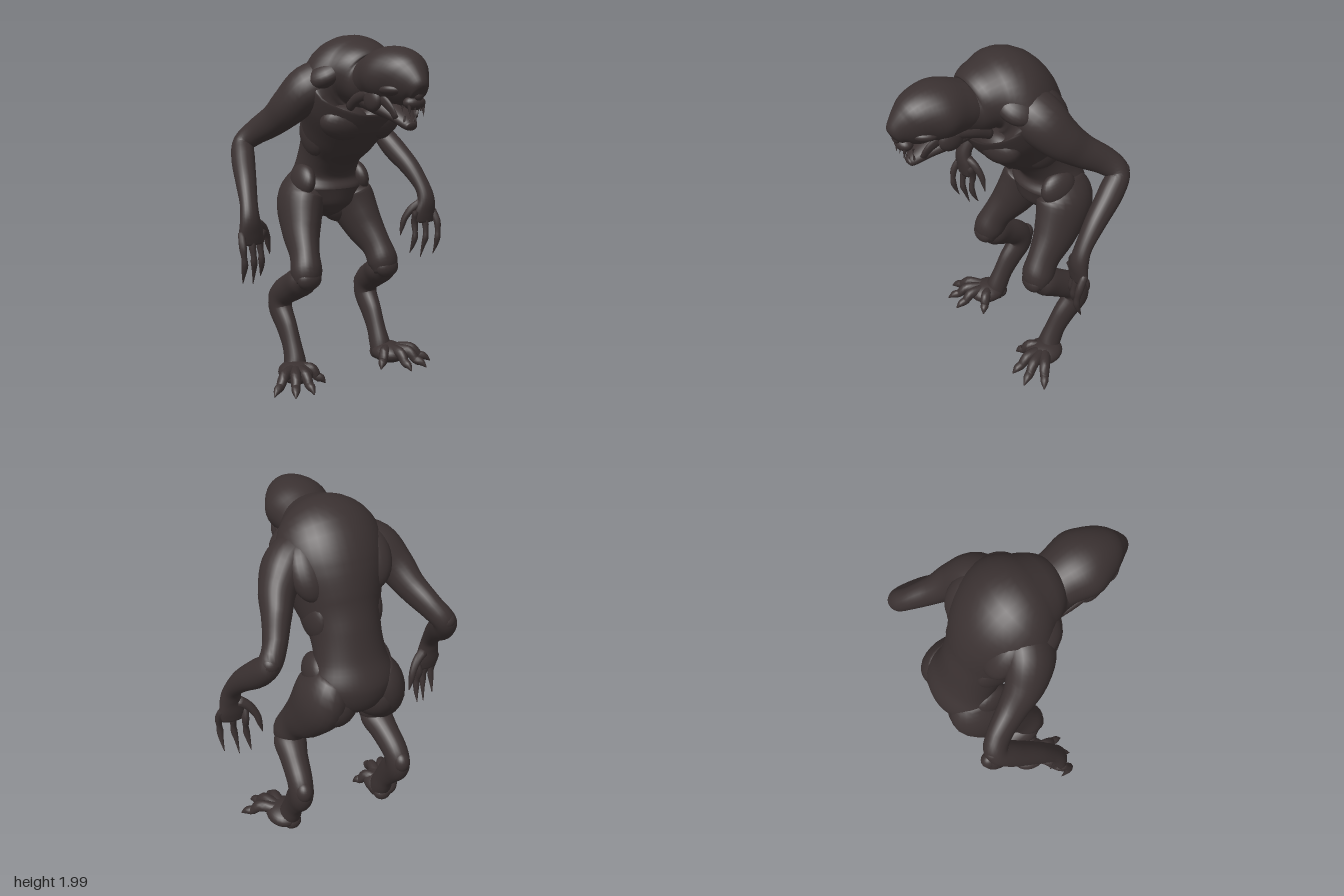
import * as THREE from 'three';

const hide = new THREE.MeshStandardMaterial({ color: 0x3a3131 });
hide.name = 'dark hide';

// Smooth skin through elliptical sections [x, y, z, halfWidth, halfDepth]; s = -1 mirrors it in x.
function loft(name, sections, s = 1, sides = 24, steps = 5) {
  const path = new THREE.CatmullRomCurve3(
    sections.map(p => new THREE.Vector3(p[0] * s, p[1], p[2])), false, 'catmullrom', 0.5);
  const size = new THREE.CatmullRomCurve3(
    sections.map(p => new THREE.Vector3(p[3], p[4], 0)), false, 'catmullrom', 0.5);
  const n = (sections.length - 1) * steps, pos = [], idx = [];
  const X = new THREE.Vector3(1, 0, 0);
  for (let i = 0; i <= n; i++) {
    const c = path.getPoint(i / n), r = size.getPoint(i / n), T = path.getTangent(i / n);
    const S = X.clone().addScaledVector(T, -X.dot(T)).normalize();
    const N = T.clone().cross(S);
    for (let j = 0; j < sides; j++) {
      const a = j / sides * Math.PI * 2;
      const v = c.clone().addScaledVector(S, Math.cos(a) * r.x).addScaledVector(N, Math.sin(a) * r.y);
      pos.push(v.x, v.y, v.z);
    }
  }
  for (let i = 0; i < n; i++) for (let j = 0; j < sides; j++) {
    const k = (j + 1) % sides, a = i * sides, b = a + sides;
    idx.push(a + j, a + k, b + j, a + k, b + k, b + j);
  }
  // Rounded end caps
  for (const e of [0, 1]) {
    const r = size.getPoint(e);
    const p = path.getPoint(e).addScaledVector(path.getTangent(e), (e ? 0.4 : -0.4) * Math.min(r.x, r.y));
    const pole = pos.length / 3, base = e * n * sides;
    pos.push(p.x, p.y, p.z);
    for (let j = 0; j < sides; j++) {
      const k = (j + 1) % sides;
      if (e) idx.push(base + j, base + k, pole); else idx.push(base + k, base + j, pole);
    }
  }
  const g = new THREE.BufferGeometry();
  g.setAttribute('position', new THREE.Float32BufferAttribute(pos, 3));
  g.setIndex(idx);
  g.computeVertexNormals();
  const m = new THREE.Mesh(g, hide);
  m.name = name;
  return m;
}

// Muscle or bone lump: position, radii, rotation
function lump(name, p, r, rot = [0, 0, 0]) {
  const m = new THREE.Mesh(new THREE.SphereGeometry(1, 24, 16), hide);
  m.name = name;
  m.position.set(...p);
  m.scale.set(...r);
  m.rotation.set(...rot);
  return m;
}

function tooth(p, length, up) {
  const m = new THREE.Mesh(new THREE.ConeGeometry(length * 0.2, length, 8), hide);
  m.name = 'tooth';
  m.position.set(...p);
  m.rotation.x = up ? 0.15 : Math.PI - 0.15;
  return m;
}

function makeArm(s) {
  const g = new THREE.Group();
  g.name = s > 0 ? 'leftArm' : 'rightArm';
  g.add(loft('armSkin', [
    [.11, 1.76, -.08, .11, .13], [.245, 1.705, -.125, .118, .135], [.325, 1.61, -.20, .097, .115],
    [.372, 1.525, -.30, .076, .092], [.43, 1.45, -.42, .062, .075], [.482, 1.385, -.475, .062, .064],
    [.518, 1.30, -.41, .066, .072], [.56, 1.19, -.29, .058, .06], [.588, 1.08, -.20, .05, .044],
    [.597, 1.0, -.17, .057, .045], [.592, .92, -.17, .072, .036], [.592, .86, -.17, .062, .024]], s));
  g.add(lump('elbow', [.482 * s, 1.395, -.49], [.05, .05, .05]));
  // Three long clawed fingers and a thumb
  const fingers = [
    [.652, .65, -.15, .66], [.577, .63, -.18, .59], [.517, .66, -.21, .53]];
  fingers.forEach(([tx, ty, tz, bx]) => g.add(loft('finger', [
    [bx - .01, .93, -.17, .02, .02], [bx, .86, tz + .015, .021, .023], [bx - .002, .80, tz + .025, .016, .017],
    [bx - .004, .76, tz + .025, .019, .019], [tx + .004, .71, tz + .01, .012, .013], [tx, ty, tz - .015, .002, .002]], s, 10, 3)));
  g.add(loft('thumb', [
    [.56, .98, -.18, .03, .028], [.51, .945, -.20, .025, .025], [.475, .89, -.22, .02, .02],
    [.463, .84, -.23, .016, .016], [.45, .775, -.235, .002, .002]], s, 10, 3));
  return g;
}

function makeLeg(s) {
  const g = new THREE.Group();
  g.name = s > 0 ? 'leftLeg' : 'rightLeg';
  g.add(loft('thigh', [
    [.11, 1.17, -.39, .10, .13], [.165, 1.04, -.385, .13, .18], [.21, .88, -.30, .108, .145],
    [.245, .755, -.20, .083, .102], [.262, .665, -.15, .09, .095], [.268, .60, -.13, .075, .065]], s));
  g.add(loft('lowerLeg', [
    [.268, .63, -.115, .07, .055], [.272, .605, -.18, .092, .085], [.285, .555, -.27, .078, .085],
    [.298, .485, -.38, .07, .082], [.303, .40, -.405, .066, .085], [.30, .30, -.335, .056, .08],
    [.298, .20, -.275, .053, .068], [.30, .11, -.235, .062, .07], [.31, .05, -.21, .075, .06]], s));
  g.add(lump('kneeCap', [.266 * s, .63, -.11], [.075, .065, .053]));
  g.add(lump('hock', [.302 * s, .455, -.445], [.05, .065, .058]));
  g.add(lump('hipBone', [.185 * s, 1.165, -.32], [.055, .095, .11], [.3, 0, .2 * s]));
  g.add(lump('buttock', [.125 * s, 1.01, -.42], [.135, .14, .14]));
  g.add(lump('foot', [.325 * s, .065, -.175], [.10, .063, .12]));
  g.add(lump('heel', [.30 * s, .05, -.25], [.055, .05, .05]));
  // Splayed clawed toes, given by tip position
  for (const [tx, tz] of [[.54, -.03], [.45, .055], [.335, .06], [.195, -.06]]) {
    const at = t => [.325 + (tx - .325) * t, -.18 + (tz + .18) * t];
    const row = (t, y, r, h) => [at(t)[0], y, at(t)[1], r, h];
    g.add(loft('toe', [row(.1, .08, .04, .04), row(.4, .09, .034, .035), row(.58, .083, .03, .034),
      row(.72, .045, .026, .028), row(.86, .035, .023, .023), row(1, .008, .003, .004)], s, 12, 3));
  }
  return g;
}

function makeHead() {
  const g = new THREE.Group();
  g.name = 'head';
  g.add(loft('skull', [
    [0, 1.75, .13, .14, .12], [0, 1.765, .22, .158, .138], [0, 1.78, .32, .178, .15], [0, 1.772, .41, .15, .145],
    [0, 1.742, .48, .108, .125], [0, 1.715, .53, .068, .09], [0, 1.69, .555, .042, .05]], 1, 32));
  g.add(loft('lowerJaw', [
    [0, 1.65, .18, .12, .065], [0, 1.62, .30, .115, .06], [0, 1.58, .40, .082, .042],
    [0, 1.537, .475, .047, .03], [0, 1.528, .50, .03, .02]]));
  g.add(lump('upperLip', [0, 1.65, .515], [.062, .038, .045]));
  g.add(lump('nose', [0, 1.69, .55], [.028, .03, .025]));
  for (const s of [1, -1]) {
    g.add(lump('brow', [.058 * s, 1.80, .485], [.058, .018, .03], [.2, .6 * s, .35 * s]));
    g.add(lump('eye', [.062 * s, 1.765, .497], [.022, .018, .018]));
    g.add(lump('cheekBone', [.092 * s, 1.71, .44], [.04, .028, .065], [0, -.5 * s, .3 * s]));
    g.add(lump('jawHinge', [.115 * s, 1.66, .31], [.035, .065, .07]));
    g.add(lump('nostrilRidge', [.026 * s, 1.72, .53], [.014, .035, .02], [-.3, 0, .3 * s]));
    g.add(loft('cheekTendon', [[.10, 1.67, .37, .016, .03], [.08, 1.62, .42, .012, .025], [.06, 1.57, .44, .012, .02]], s, 10, 3));
    g.add(tooth([.042 * s, 1.61, .535], .06, false), tooth([.016 * s, 1.62, .545], .035, false),
      tooth([.058 * s, 1.62, .495], .035, false), tooth([.034 * s, 1.57, .48], .05, true),
      tooth([.013 * s, 1.555, .495], .03, true));
  }
  return g;
}

export function createModel() {
  const model = new THREE.Group();
  model.name = 'creature';

  // Hunched trunk running from the pelvis over the shoulders into the neck
  model.add(loft('trunk', [
    [0, .945, -.36, .06, .09], [0, 1.01, -.37, .17, .165], [0, 1.12, -.385, .235, .195],
    [0, 1.23, -.365, .195, .158], [0, 1.36, -.30, .188, .185], [0, 1.48, -.215, .225, .238],
    [0, 1.62, -.125, .28, .275], [0, 1.745, -.045, .285, .262], [0, 1.77, .045, .215, .19],
    [0, 1.74, .14, .155, .148], [0, 1.745, .24, .145, .125]], 1, 40, 6));

  for (const s of [1, -1]) {
    // Chest, shoulder and neck muscles
    model.add(lump('chestMuscle', [.11 * s, 1.52, .025], [.14, .10, .085], [.4, .2 * s, 0]));
    model.add(lump('shoulderBlade', [.16 * s, 1.70, -.22], [.12, .17, .09], [.6, .3 * s, 0]));
    model.add(lump('trapezius', [.17 * s, 1.785, -.05], [.14, .075, .13], [0, 0, -.5 * s]));
    model.add(lump('flank', [.15 * s, 1.45, -.24], [.06, .14, .14], [.5, 0, 0]));
    model.add(loft('neckTendon', [[.125, 1.69, .30, .02, .025], [.125, 1.66, .18, .022, .028], [.11, 1.61, .08, .022, .028]], s, 12));
    for (const [y, z] of [[1.40, -.075], [1.33, -.15]])
      model.add(lump('abdominal', [.055 * s, y, z], [.06, .04, .03], [.7, 0, 0]));
    model.add(makeArm(s), makeLeg(s));
  }
  model.add(makeHead());
  return model;
}
